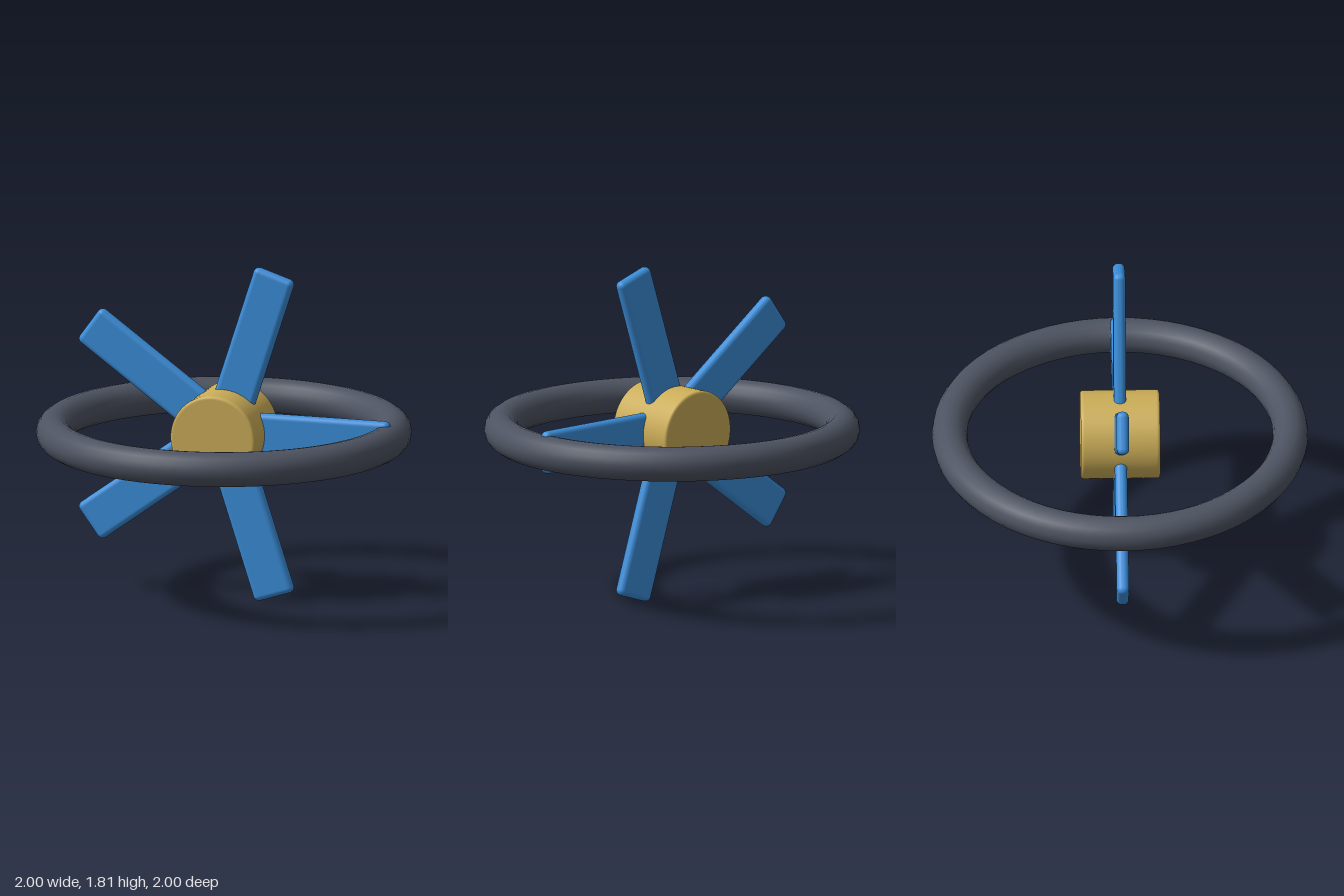
import * as THREE from 'three';
import { RoundedBoxGeometry } from 'three/addons/geometries/RoundedBoxGeometry.js';

const CENTER_Y = 0.913;
const BLADES = 5;

const mat = (name, color) => {
  const m = new THREE.MeshStandardMaterial({ color });
  m.name = name;
  return m;
};

// Drum with softly rounded rims, axis along y
function drumGeometry(radius, half, bevel) {
  const pts = [[0, -half], [radius - bevel - 0.005, -half]];
  const steps = 4;
  for (const side of [-1, 1]) {
    for (let i = 0; i <= steps; i++) {
      const t = (side < 0 ? i : steps - i) / steps * Math.PI / 2;
      pts.push([radius - bevel + bevel * Math.sin(t), side * (half - bevel + bevel * Math.cos(t))]);
    }
    if (side < 0) pts.push([radius, -half + bevel + 0.005], [radius, half - bevel - 0.005]);
  }
  pts.push([radius - bevel - 0.005, half], [0, half]);
  return new THREE.LatheGeometry(pts.map(([x, y]) => new THREE.Vector2(x, y)), 64);
}

export function createModel() {
  const model = new THREE.Group();
  model.name = 'bladedWheel';
  const blue = mat('bladeBlue', 0x3b8eda);
  const brass = mat('hubBrass', 0xcbad58);
  const grey = mat('ringGrey', 0x4d5361);

  // Horizontal ring around the hub
  const ring = new THREE.Mesh(new THREE.TorusGeometry(0.906, 0.094, 16, 64), grey);
  ring.name = 'ring';
  ring.rotation.x = Math.PI / 2;
  ring.position.y = CENTER_Y;
  model.add(ring);

  // Hub facing the front
  const hub = new THREE.Mesh(drumGeometry(0.236, 0.211, 0.015), brass);
  hub.name = 'hub';
  hub.rotation.x = Math.PI / 2;
  hub.position.y = CENTER_Y;
  model.add(hub);

  // Flat rounded blades fanned around the hub
  const inner = 0.12, outer = 0.925;
  const bladeGeo = new RoundedBoxGeometry(outer - inner, 0.23, 0.066, 4, 0.03);
  bladeGeo.translate((inner + outer) / 2, 0, 0);
  for (let i = 0; i < BLADES; i++) {
    const blade = new THREE.Mesh(bladeGeo, blue);
    blade.name = `blade${i + 1}`;
    blade.rotation.z = (i / BLADES) * Math.PI * 2;
    blade.position.y = CENTER_Y;
    model.add(blade);
  }
  return model;
}
